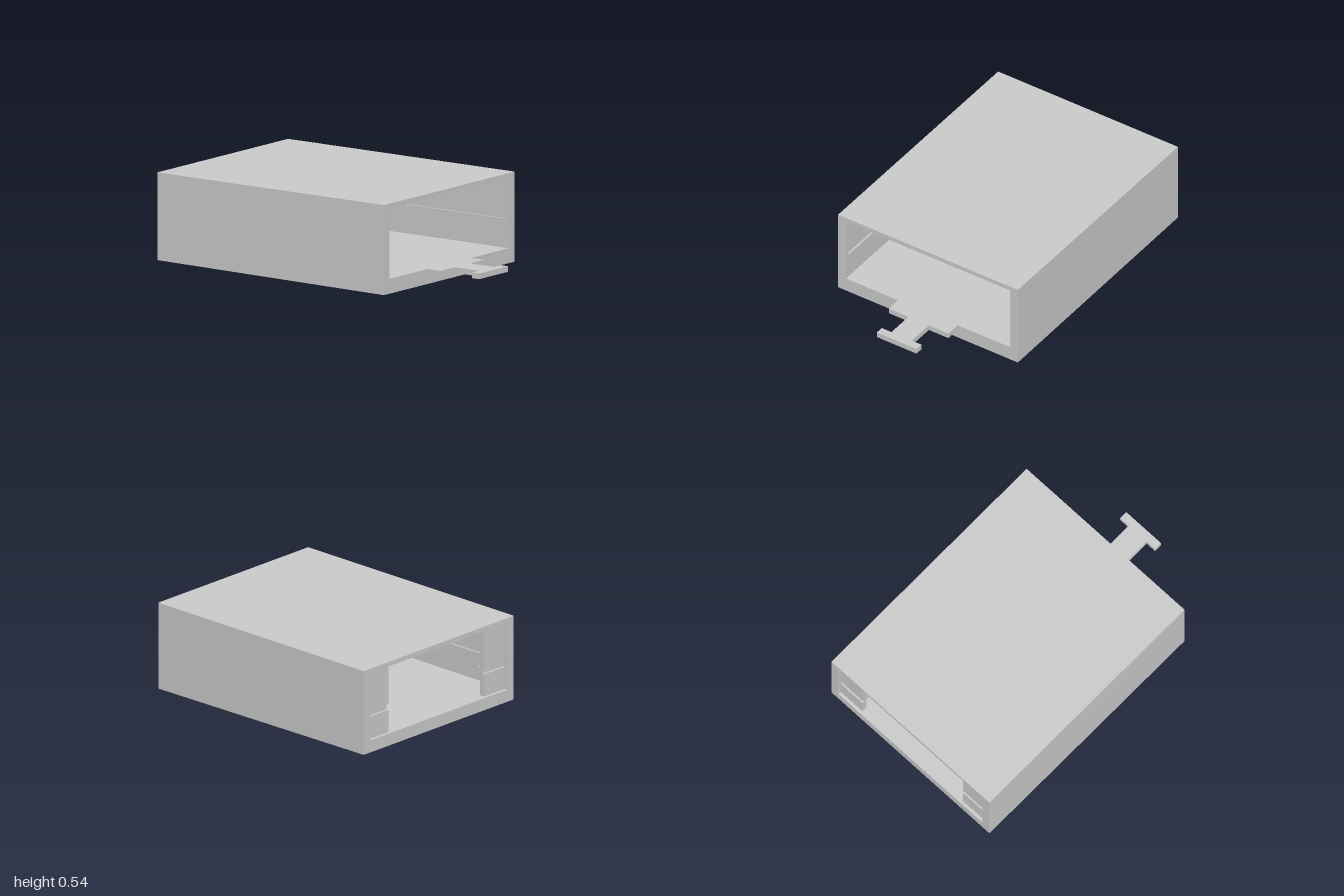
import * as THREE from 'three';

export function createModel() {
  const model = new THREE.Group();
  const material = new THREE.MeshStandardMaterial({ color: 0xcccccc, flatShading: true });

  const add = (name, geometry) => {
    const mesh = new THREE.Mesh(geometry, material);
    mesh.name = name;
    model.add(mesh);
  };

  // Box given by its limits on each axis
  const addBox = (name, [x0, x1], [y0, y1], [z0, z1]) => {
    const geometry = new THREE.BoxGeometry(x1 - x0, y1 - y0, z1 - z0);
    geometry.translate((x0 + x1) / 2, (y0 + y1) / 2, (z0 + z1) / 2);
    add(name, geometry);
  };

  const rectangle = (Type, w, y0, y1) => new Type([
    new THREE.Vector2(-w, y0), new THREE.Vector2(w, y0),
    new THREE.Vector2(w, y1), new THREE.Vector2(-w, y1),
  ]);

  // Rectangular sleeve, open at both ends, its underside rising slightly toward -x
  const LEFT = 0.673, RIGHT = -1;
  const section = rectangle(THREE.Shape, 0.643, 0, 0.542);
  section.holes.push(rectangle(THREE.Path, 0.587, 0.09, 0.514));
  const sleeve = new THREE.ExtrudeGeometry(section, { depth: LEFT - RIGHT, bevelEnabled: false });
  sleeve.rotateY(Math.PI / 2).translate(RIGHT, 0, 0);
  const p = sleeve.attributes.position;
  for (let i = 0; i < p.count; i++) {
    if (p.getY(i) < 0.01 && p.getX(i) < 0) p.setY(i, 0.014);
  }
  sleeve.computeVertexNormals();
  add('sleeve', sleeve);

  // Side rails and the split end stops, mirrored front to back
  for (const side of [-1, 1]) {
    const span = (a, b) => (side > 0 ? [a, b] : [-b, -a]);
    addBox('sideRail', [-0.95, LEFT - 0.02], [0.23, 0.268], span(0.575, 0.59));
    addBox('upperEndStop', [-0.98, -0.945], [0.268, 0.515], span(0.41, 0.588));
    addBox('lowerEndStop', [-0.98, -0.945], [0.089, 0.23], span(0.41, 0.588));
    addBox('endStopBridge', [-0.965, -0.93], [0.23, 0.268], span(0.41, 0.588));
  }

  // Flat pull tab, stepped outline in plan, level with the sleeve floor
  const half = [[0.65, 0.213], [0.77, 0.213], [0.77, 0.073], [0.948, 0.073], [0.948, 0.142], [1, 0.142]];
  const outline = [
    ...half.map(([x, z]) => new THREE.Vector2(x, -z)),
    ...[...half].reverse().map(([x, z]) => new THREE.Vector2(x, z)),
  ];
  const tab = new THREE.ExtrudeGeometry(new THREE.Shape(outline), { depth: 0.034, bevelEnabled: false });
  tab.rotateX(-Math.PI / 2).translate(0, 0.056, 0);
  add('pullTab', tab);

  return model;
}
